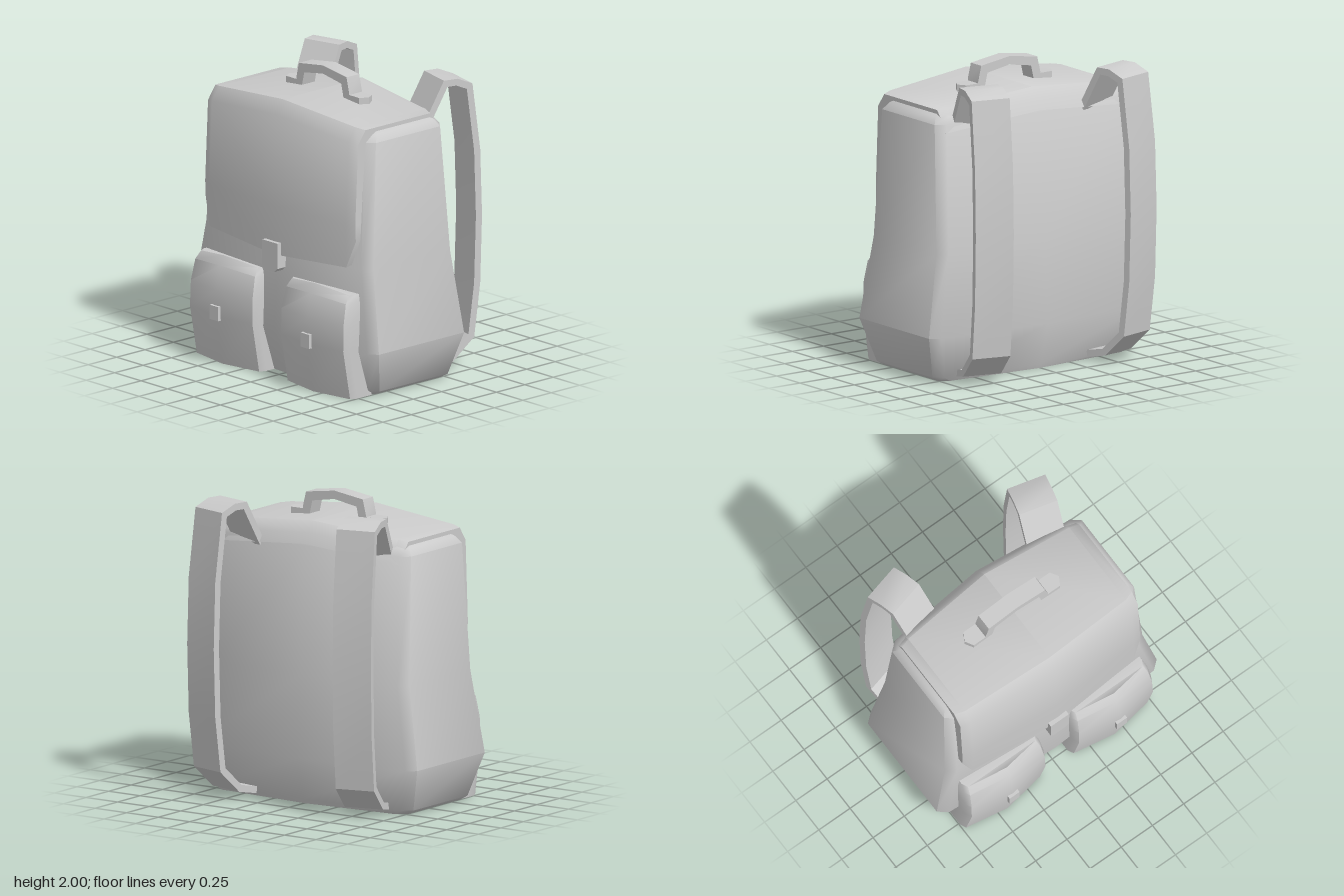
import * as THREE from 'three';
import { toCreasedNormals } from 'three/addons/utils/BufferGeometryUtils.js';

const material = new THREE.MeshStandardMaterial({ color: 0xcccccc });

function addMesh(parent, name, geometry, crease = 0.9) {
  const mesh = new THREE.Mesh(toCreasedNormals(geometry, crease), material);
  mesh.name = name;
  parent.add(mesh);
  return mesh;
}

// Skin a stack of closed loops, closing both ends with strips
function loft(loops) {
  const n = loops[0].length, last = (loops.length - 1) * n, index = [];
  for (let i = 0; i < loops.length - 1; i++) {
    for (let j = 0; j < n; j++) {
      const a = i * n + j, b = i * n + (j + 1) % n;
      index.push(a, b, b + n, a, b + n, a + n);
    }
  }
  for (let j = 0; j < n / 2 - 1; j++) {
    const a = j, b = j + 1, c = n - 2 - j, d = n - 1 - j;
    index.push(a, c, b, a, d, c);
    index.push(last + a, last + b, last + c, last + a, last + c, last + d);
  }
  const geometry = new THREE.BufferGeometry();
  geometry.setAttribute('position', new THREE.Float32BufferAttribute(loops.flat(2), 3));
  geometry.setIndex(index);
  return geometry;
}

// Extrude an outline, centred on its depth
function slab(points, depth) {
  const shape = new THREE.Shape(points.map(p => new THREE.Vector2(...p)));
  return new THREE.ExtrudeGeometry(shape, { depth, bevelEnabled: false }).translate(0, 0, -depth / 2);
}

// Bag: y, half width, front corner z, front centre z, back corner z, back centre z
function bodyGeometry() {
  const rows = [
    [0, 0.75, 0.40, 0.44, -0.28, -0.33],
    [0.03, 0.80, 0.41, 0.45, -0.29, -0.34],
    [0.31, 0.88, 0.49, 0.54, -0.36, -0.415],
    [0.85, 0.79, 0.455, 0.51, -0.32, -0.375],
    [1.69, 0.76, 0.405, 0.46, -0.26, -0.315],
    [1.735, 0.73, 0.37, 0.42, -0.23, -0.285],
    [1.77, 0.68, 0.33, 0.38, -0.19, -0.25],
  ];
  return loft(rows.map(([y, w, f, fc, b, bc]) => [
    [-w, y, b + 0.05], [-w, y, f - 0.05], [-w + 0.06, y, f], [0, y, fc], [w - 0.06, y, f],
    [w, y, f - 0.05], [w, y, b + 0.05], [w - 0.06, y, b], [0, y, bc], [-w + 0.06, y, b],
  ]));
}

// Flap: a bent sheet, lofted from side to side
function flapGeometry() {
  const station = (x, top, front, bottom, back) => [
    [x, top - 0.14, back], [x, top - 0.07, back + 0.035], [x, top, back + 0.09],
    [x, top, front - 0.09], [x, top - 0.09, front - 0.025],
    [x, 1.15, front], [x, bottom, front - 0.005],
    [x, bottom + 0.01, front - 0.08], [x, 1.15, front - 0.07], [x, top - 0.12, front - 0.1],
    [x, top - 0.06, front - 0.15], [x, top - 0.06, back + 0.11],
    [x, top - 0.09, back + 0.08], [x, top - 0.14, back + 0.04],
  ];
  return loft([
    station(-0.71, 1.775, 0.49, 1.04, -0.26),
    station(-0.645, 1.785, 0.515, 0.86, -0.28),
    station(0, 1.845, 0.56, 0.82, -0.33),
    station(0.645, 1.785, 0.515, 0.86, -0.28),
    station(0.71, 1.775, 0.49, 1.04, -0.26),
  ]);
}

// Pocket: y, half width, centre front z, extra height at the centre
function pocketGeometry() {
  const rows = [
    [0, 0.315, 0.6, 0], [0.33, 0.315, 0.66, 0], [0.5, 0.312, 0.655, 0],
    [0.64, 0.302, 0.625, 0.025], [0.69, 0.29, 0.585, 0.035],
  ];
  return loft(rows.map(([y, w, z, rise]) => [
    [-w, y, 0.38], [-w, y, z - 0.09], [-w + 0.02, y, z - 0.05], [0, y + rise, z],
    [w - 0.02, y, z - 0.05], [w, y, z - 0.09], [w, y, 0.38], [0, y + rise, 0.38],
  ]));
}

// Strap: outer path (distance behind the anchor, height) given a thickness
function strapGeometry() {
  const path = [
    [-0.03, 1.67], [0.12, 1.947], [0.22, 1.947], [0.33, 1.9], [0.387, 1.45], [0.4, 1.01],
    [0.387, 0.557], [0.343, 0.196], [0.185, 0.048], [0.04, 0.02],
  ];
  const t = 0.045;
  const normal = (a, b) => new THREE.Vector2(b[1] - a[1], a[0] - b[0]).normalize();
  const inner = path.map((p, i) => {
    const n1 = normal(path[Math.max(i - 1, 0)], path[Math.max(i, 1)]);
    const n2 = normal(path[Math.min(i, path.length - 2)], path[Math.min(i + 1, path.length - 1)]);
    const m = n1.clone().add(n2).normalize();
    const s = t / m.dot(n1);
    return [p[0] + m.x * s, p[1] + m.y * s];
  });
  return slab([...path, ...inner.reverse()], 0.265);
}

export function createModel() {
  const model = new THREE.Group();
  model.name = 'backpack';
  addMesh(model, 'body', bodyGeometry());
  addMesh(model, 'flap', flapGeometry());

  // Flap clasp
  addMesh(model, 'clasp', slab([
    [-0.072, 0.91], [-0.072, 0.74], [-0.045, 0.715], [0.045, 0.715], [0.072, 0.74], [0.072, 0.91],
  ], 0.075), 0.4).position.z = 0.545;

  // Carry handle
  const half = [[0.25, 1.865], [0.225, 1.968]];
  const under = [[0.175, 1.915], [0.2, 1.81], [0.25, 1.81]];
  const flip = ([x, y]) => [-x, y];
  addMesh(model, 'handle', slab([
    ...half, [0, 2], ...half.map(flip).reverse(),
    ...under.map(flip).reverse(), [0, 1.945], ...under,
  ], 0.112), 0.4).position.z = 0.06;

  for (const side of [1, -1]) {
    const name = side > 0 ? 'left' : 'right';

    // Pointed handle foot
    const foot = slab([
      [0.2, -0.056], [0.345, -0.056], [0.378, 0], [0.345, 0.056], [0.2, 0.056],
    ], 0.06).rotateX(-Math.PI / 2);
    if (side < 0) foot.rotateY(Math.PI);
    addMesh(model, name + 'HandleFoot', foot, 0.4).position.set(0, 1.825, 0.06);

    // Front pocket and its stud
    addMesh(model, name + 'Pocket', pocketGeometry()).position.x = side * 0.43;
    addMesh(model, name + 'PocketStud', new THREE.BoxGeometry(0.08, 0.095, 0.06), 0.4)
      .position.set(side * 0.43, 0.355, 0.645);

    // Shoulder strap, splayed outward toward the back
    const strap = addMesh(model, name + 'Strap', strapGeometry(), 0.5);
    strap.rotation.y = Math.PI / 2 - side * 0.25;
    strap.position.set(side * 0.5, 0, -0.255);
  }
  return model;
}
